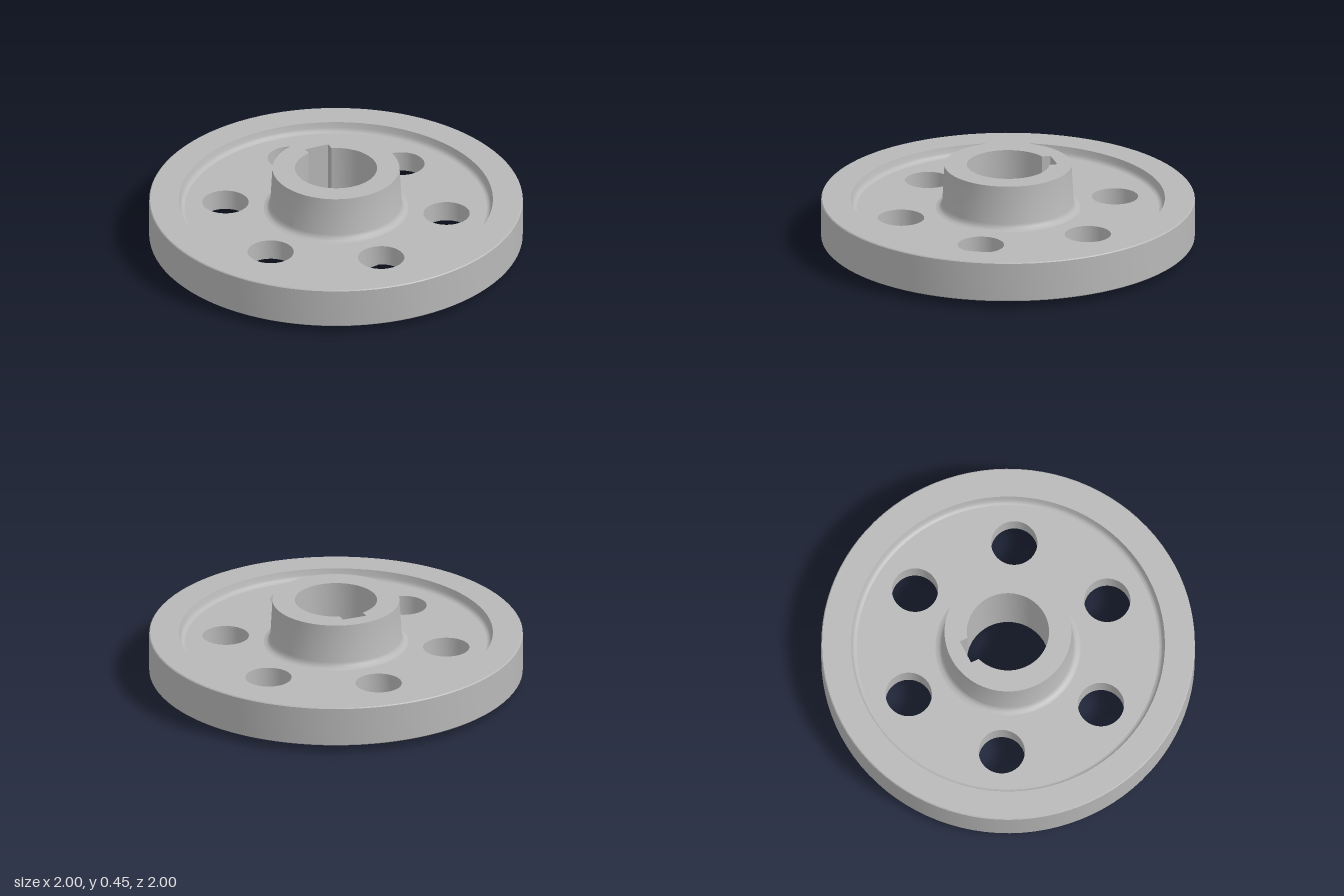
import * as THREE from 'three';
import { toCreasedNormals } from 'three/addons/utils/BufferGeometryUtils.js';

const SEG = 96;
const WEB_LOW = 0.095, WEB_TOP = 0.207, HUB_TOP = 0.45;

// Counter-clockwise arc as a list of points
function arc(cx, cy, r, from, to, n) {
  return Array.from({ length: n + 1 }, (_, i) => {
    const a = from + (to - from) * i / n;
    return new THREE.Vector2(cx + r * Math.cos(a), cy + r * Math.sin(a));
  });
}
const circle = (cx, cy, r, n) => arc(cx, cy, r, 0, Math.PI * 2, n).slice(0, -1);

// Turned surface from [radius, height] pairs
function turned(profile) {
  const points = profile.map(([r, y]) => new THREE.Vector2(r, y));
  return toCreasedNormals(new THREE.LatheGeometry(points, SEG), 0.6);
}

// Flat horizontal face with openings, facing up or down
function face(outline, openings, y, up) {
  const shape = new THREE.Shape(outline);
  openings.forEach((o) => shape.holes.push(new THREE.Path(o)));
  const geo = new THREE.ShapeGeometry(shape).rotateX(-Math.PI / 2);
  if (!up) geo.rotateZ(Math.PI);
  return geo.translate(0, y, 0);
}

// Inward-facing wall of an opening
function wall(outline, y0, y1) {
  const pos = [], index = [];
  const n = outline.length;
  outline.forEach((p, i) => {
    pos.push(p.x, y0, -p.y, p.x, y1, -p.y);
    const a = 2 * i, b = 2 * ((i + 1) % n);
    index.push(a, a + 1, b + 1, a, b + 1, b);
  });
  const geo = new THREE.BufferGeometry();
  geo.setAttribute('position', new THREE.Float32BufferAttribute(pos, 3));
  geo.setIndex(index);
  return toCreasedNormals(geo, 0.6);
}

export function createModel() {
  const model = new THREE.Group();
  model.name = 'wheel';
  const steel = new THREE.MeshStandardMaterial({ color: 0xb8b8b8 });
  steel.name = 'grey steel';
  const add = (name, geo) => {
    const mesh = new THREE.Mesh(geo, steel);
    mesh.name = name;
    model.add(mesh);
  };

  // Rim with small outer chamfers and filleted inner shoulders
  add('rim', turned([
    [0.81, WEB_LOW], [0.82, 0.092], [0.828, 0.084], [0.833, 0.072], [0.84, 0.04],
    [0.995, 0.04], [1, 0.045], [1, 0.255], [0.995, 0.26],
    [0.84, 0.26], [0.833, 0.23], [0.828, 0.218], [0.82, 0.21], [0.81, WEB_TOP],
  ]));

  // Tapered hub, flaring into the web above and below
  add('hubUpper', turned([
    [0.388, WEB_TOP], [0.37, 0.211], [0.358, 0.222], [0.352, 0.24], [0.34, HUB_TOP],
  ]));
  add('hubLower', turned([
    [0.34, 0], [0.343, 0.045], [0.348, 0.066], [0.358, 0.083], [0.37, 0.091], [0.388, WEB_LOW],
  ]));

  // Bore with keyway towards the back
  const boreR = 0.22, keyHalf = 0.067, keyTop = 0.255;
  const d = Math.asin(keyHalf / boreR);
  const bore = arc(0, 0, boreR, Math.PI / 2 + d, Math.PI * 2.5 - d, 80);
  bore.push(new THREE.Vector2(keyHalf, keyTop), new THREE.Vector2(-keyHalf, keyTop));
  const hubEdge = circle(0, 0, 0.34, SEG);
  add('hubTopFace', face(hubEdge, [bore], HUB_TOP, true));
  add('hubBottomFace', face(hubEdge, [bore], 0, false));
  add('keyedBore', wall(bore, 0, HUB_TOP));

  // Web plate with six lightening holes
  const holes = [];
  for (let i = 0; i < 6; i++) {
    const a = Math.PI / 2 + i * Math.PI / 3;
    holes.push(circle(0.595 * Math.cos(a), 0.595 * Math.sin(a), 0.124, 48));
  }
  const webEdge = circle(0, 0, 0.81, SEG);
  const webOpenings = [circle(0, 0, 0.388, SEG), ...holes];
  add('webTopFace', face(webEdge, webOpenings, WEB_TOP, true));
  add('webBottomFace', face(webEdge, webOpenings, WEB_LOW, false));
  holes.forEach((h) => add('lighteningHole', wall(h, WEB_LOW, WEB_TOP)));

  return model;
}
